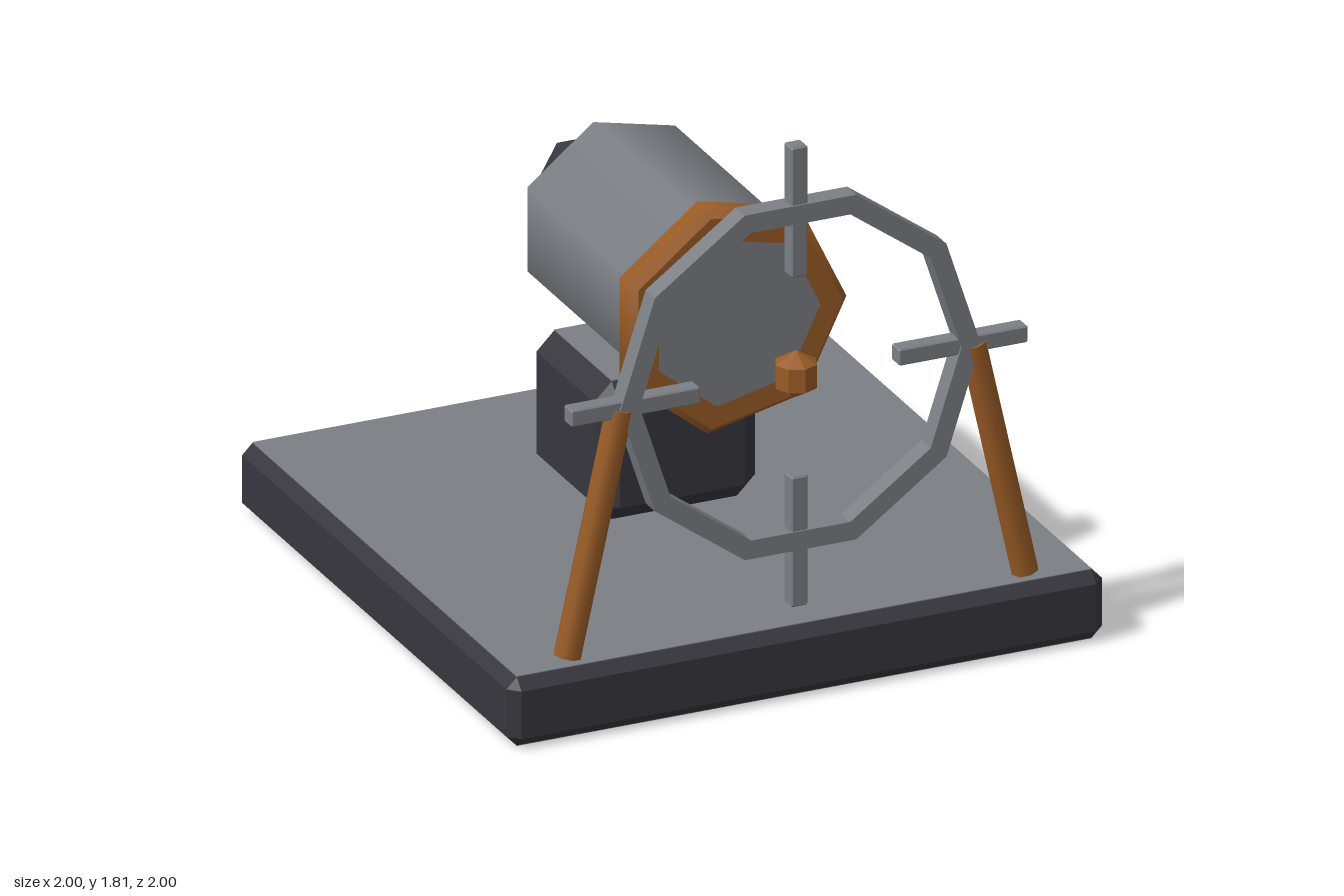
import * as THREE from 'three';
import { mergeGeometries } from 'three/addons/utils/BufferGeometryUtils.js';
import { ConvexGeometry } from 'three/addons/geometries/ConvexGeometry.js';

const material = (name, color) => Object.assign(new THREE.MeshStandardMaterial({ color }), { name });

// Box with every edge cut at 45 degrees
function chamferBox(w, h, d, c) {
  const points = [];
  for (const x of [-w / 2, w / 2]) for (const y of [-h / 2, h / 2]) for (const z of [-d / 2, d / 2]) {
    const ix = x - Math.sign(x) * c, iy = y - Math.sign(y) * c, iz = z - Math.sign(z) * c;
    points.push(new THREE.Vector3(x, iy, iz), new THREE.Vector3(ix, y, iz), new THREE.Vector3(ix, iy, z));
  }
  return new ConvexGeometry(points);
}

// Prism along z with bevelled ends; each band is smooth around, with crisp bevels
function bevelledPrism(radius, sides, zBack, zFront, bevel) {
  const rIn = radius - bevel;
  const profile = [[0, zBack], [rIn, zBack], [radius, zBack + bevel], [radius, zFront - bevel], [rIn, zFront], [0, zFront]];
  const bands = [];
  for (let i = 0; i < profile.length - 1; i++) {
    const [r0, z0] = profile[i], [r1, z1] = profile[i + 1];
    if (z0 === z1) {
      const cap = new THREE.CircleGeometry(Math.max(r0, r1), sides);
      if (i === 0) cap.rotateX(Math.PI);
      bands.push(cap.translate(0, 0, z0));
    } else {
      bands.push(new THREE.CylinderGeometry(r1, r0, z1 - z0, sides, 1, true, Math.PI / 2)
        .rotateX(Math.PI / 2).translate(0, 0, (z0 + z1) / 2));
    }
  }
  return mergeGeometries(bands);
}

export function createModel() {
  const model = new THREE.Group();
  const steel = material('steelGrey', 0x7b7f84);
  const dark = material('charcoal', 0x37363d);
  const copper = material('copper', 0x9a5c26);

  const add = (name, geometry, mat, x = 0, y = 0, z = 0) => {
    const mesh = new THREE.Mesh(geometry, mat);
    mesh.name = name;
    mesh.position.set(x, y, z);
    model.add(mesh);
    return mesh;
  };

  const axisY = 1.04, wheelZ = 0.905;

  // Base slab with grey plates on its top and underside
  add('base', chamferBox(2, 0.228, 2, 0.035), dark, 0, 0.116, 0);
  add('baseTop', new THREE.BoxGeometry(1.93, 0.004, 1.93), steel, 0, 0.231, 0);
  add('baseUnderside', new THREE.BoxGeometry(1.93, 0.004, 1.93), steel, 0, 0.002, 0);

  // Pedestal
  add('pedestal', chamferBox(0.54, 0.46, 0.54, 0.06), dark, 0, 0.463, -0.193);
  add('pedestalTop', new THREE.BoxGeometry(0.42, 0.004, 0.42), steel, 0, 0.694, -0.193);

  // Barrel, front collar and rear cap
  add('barrel', bevelledPrism(0.325, 7, -0.463, 0.455, 0.045), steel, 0, axisY, 0);
  add('collar', bevelledPrism(0.383, 7, 0.346, 0.462, 0.022), copper, 0, axisY, 0);
  add('barrelFace', new THREE.CircleGeometry(0.285, 7), steel, 0, axisY, 0.465);
  add('rearCap', bevelledPrism(0.19, 6, -0.655, -0.44, 0.022), dark, 0, axisY, 0);

  // Ten-sided wheel rim
  const decagon = (r) => Array.from({ length: 10 }, (_, i) =>
    new THREE.Vector2(r * Math.cos(i * Math.PI / 5), r * Math.sin(i * Math.PI / 5)));
  const rimShape = new THREE.Shape(decagon(0.605));
  rimShape.holes.push(new THREE.Path(decagon(0.54)));
  const rim = new THREE.ExtrudeGeometry(rimShape, { depth: 0.068, bevelEnabled: false });
  add('wheelRim', rim.translate(0, 0, -0.034), steel, 0, axisY, wheelZ);

  // Four handles crossing the rim
  for (let i = 0; i < 4; i++) {
    const a = i * Math.PI / 2;
    const handle = add('wheelHandle', chamferBox(0.434, 0.056, 0.056, 0.005), steel,
      0.55 * Math.cos(a), axisY + 0.55 * Math.sin(a), wheelZ);
    handle.rotation.z = a;
  }

  // Small knob at the wheel centre
  const knob = new THREE.SphereGeometry(0.078, 8, 3).toNonIndexed();
  knob.computeVertexNormals();
  add('centreKnob', knob, copper, 0, axisY, wheelZ);

  // Splayed legs
  const up = new THREE.Vector3(0, 1, 0);
  for (const side of [-1, 1]) {
    const foot = new THREE.Vector3(side * 0.768, 0.24, wheelZ);
    const top = new THREE.Vector3(side * 0.592, 1.035, wheelZ);
    const axis = top.clone().sub(foot);
    const leg = add(side > 0 ? 'leftLeg' : 'rightLeg',
      new THREE.CylinderGeometry(0.044, 0.044, axis.length(), 8), copper);
    leg.position.copy(foot).add(top).multiplyScalar(0.5);
    leg.quaternion.setFromUnitVectors(up, axis.normalize());
  }

  return model;
}
